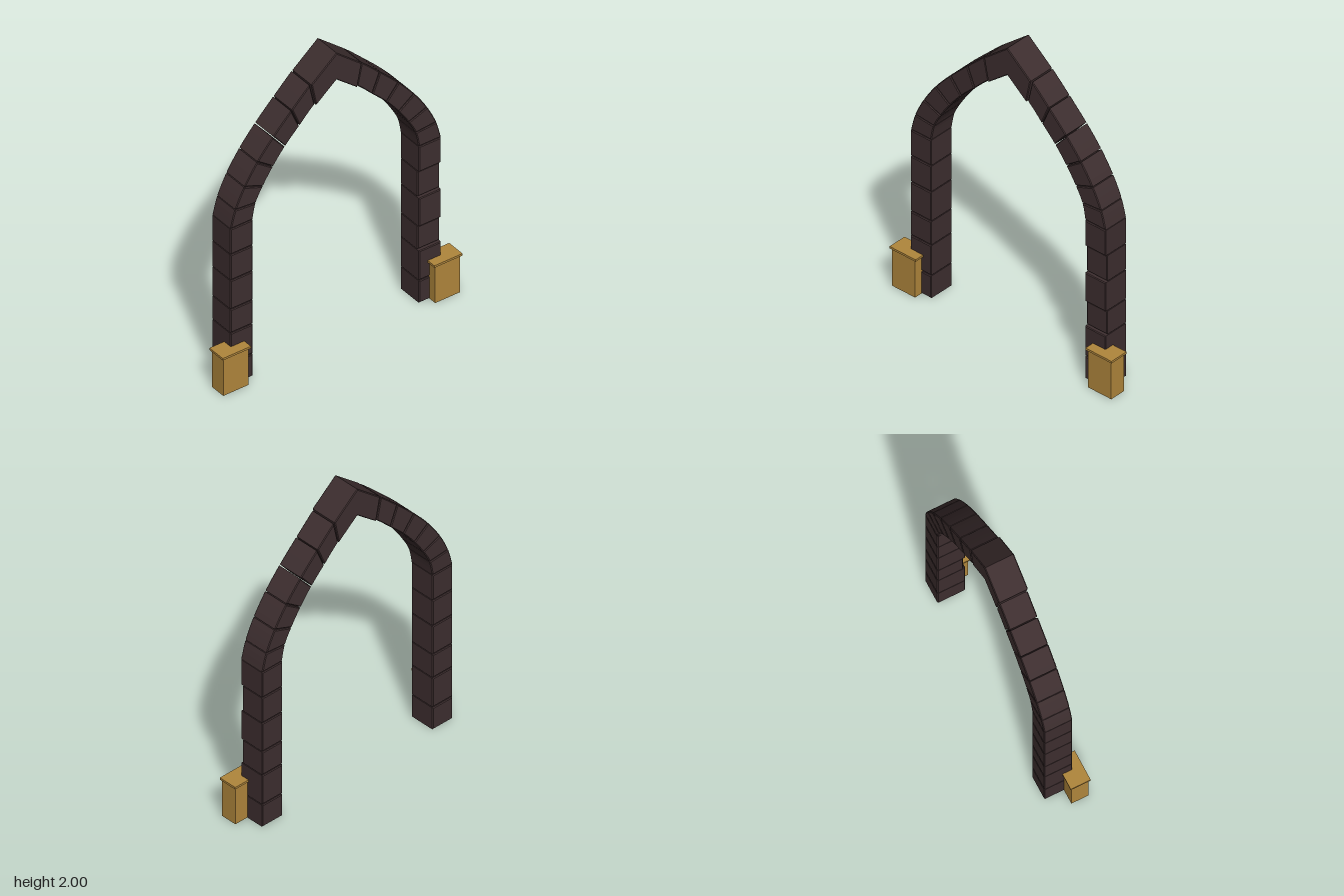
import * as THREE from 'three';

const BEVEL = 0.005, GAP = 0.003, BACK = -0.121, FRONT = 0.056;

export function createModel() {
  const model = new THREE.Group();
  model.name = 'pointedArch';
  const stone = new THREE.MeshStandardMaterial({ color: 0x3d2e2f });
  stone.name = 'dark brown stone';
  const ochre = new THREE.MeshStandardMaterial({ color: 0xb0863c });
  ochre.name = 'ochre';

  // Bevelled stone from an outline in x and y
  function addStone(name, points, front = FRONT) {
    const shape = new THREE.Shape(points.map(([x, y]) => new THREE.Vector2(x, y)));
    const geometry = new THREE.ExtrudeGeometry(shape, {
      depth: front - BACK - 2 * BEVEL, bevelEnabled: true, bevelSegments: 1,
      bevelSize: BEVEL, bevelThickness: BEVEL, bevelOffset: -BEVEL,
    });
    geometry.translate(0, 0, BACK + BEVEL);
    const mesh = new THREE.Mesh(geometry, stone);
    mesh.name = name;
    model.add(mesh);
  }

  function addBox(name, size, position) {
    const mesh = new THREE.Mesh(new THREE.BoxGeometry(...size), ochre);
    mesh.name = name;
    mesh.position.set(...position);
    model.add(mesh);
  }

  // Outer and inner edges of one half of the arch, at each joint
  const curve = (points) => new THREE.SplineCurve(points.map(([x, y]) => new THREE.Vector2(x, y)));
  const outer = curve([[0.737, 1.09], [0.704, 1.208], [0.64, 1.34], [0.55, 1.474],
    [0.44, 1.601], [0.31, 1.73], [0.18, 1.852], [0, 2]]);
  const inner = curve([[0.582, 1.09], [0.56, 1.195], [0.51, 1.29], [0.44, 1.395],
    [0.355, 1.5], [0.255, 1.6], [0.147, 1.705], [0, 1.815]]);
  const spans = 7, steps = 4, joint = 0.02;
  const pillarJoints = [0, 0.155, 0.363, 0.528, 0.73, 0.91, 1.09];

  for (const side of [1, -1]) {
    const label = side > 0 ? 'left' : 'right';

    // Straight pillar stones, a few set slightly back
    for (let i = 0; i < pillarJoints.length - 1; i++) {
      const y0 = pillarJoints[i] + (i ? GAP : 0), y1 = pillarJoints[i + 1] - GAP;
      const setBack = side > 0 && (i === 2 || i === 4) ? 0.014 : 0;
      addStone(`${label}PillarStone${i + 1}`,
        [[0.582, y0], [0.737, y0], [0.737, y1], [0.582, y1]].map(([x, y]) => [x * side, y]),
        FRONT - setBack);
    }

    // Curved arch stones
    for (let i = 0; i < spans - 1; i++) {
      const outerEdge = [], innerEdge = [];
      for (let k = 0; k <= steps; k++) {
        const t = (i + joint + (1 - 2 * joint) * k / steps) / spans;
        const a = outer.getPoint(t), b = inner.getPoint(t);
        outerEdge.push([a.x * side, a.y]);
        innerEdge.unshift([b.x * side, b.y]);
      }
      addStone(`${label}ArchStone${i + 1}`, [...outerEdge, ...innerEdge]);
    }

    // Pedestal in front of the pillar foot
    addBox(`${label}Pedestal`, [0.175, 0.256, 0.108], [0.742 * side, 0.128, 0.056]);
    addBox(`${label}PedestalCap`, [0.197, 0.014, 0.126], [0.741 * side, 0.263, 0.056]);
  }

  // Keystone chevron at the peak
  addStone('keystone', [[0, 2], [-0.176, 1.855], [-0.143, 1.7], [0, 1.815], [0.143, 1.7], [0.176, 1.855]], 0.064);

  return model;
}
